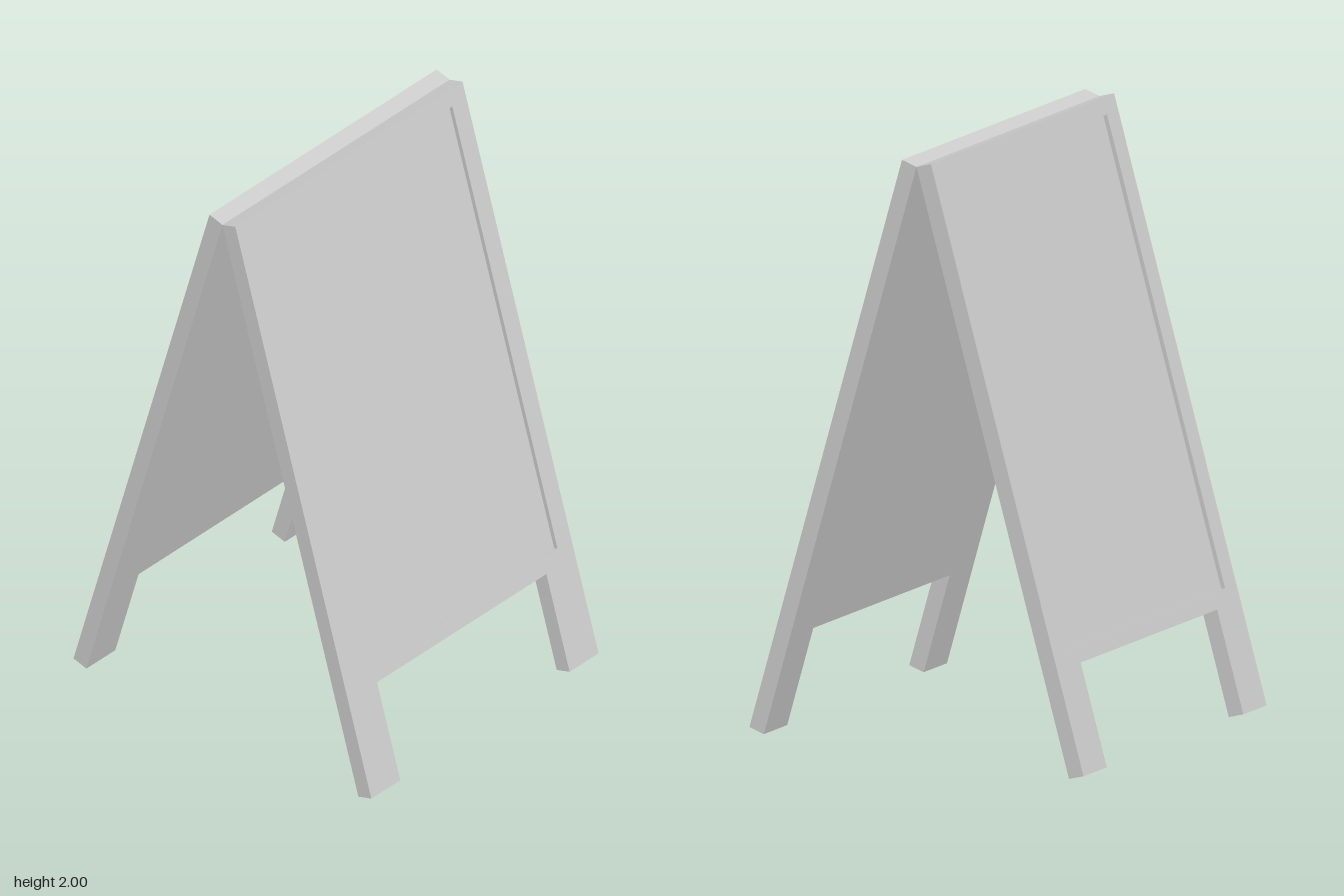
import * as THREE from 'three';

const HALF_WIDTH = 0.57, LENGTH = 2.069, THICK = 0.058, TILT = 0.287;
const LEG_INNER = 0.425, RAIL_BOTTOM = -1.715;
const PANEL_HALF = 0.5, PANEL_TOP = -0.057, PANEL_BOTTOM = -1.658, RECESS = 0.015;

const material = new THREE.MeshStandardMaterial({ color: 0xcccccc, flatShading: true });

// One leaf of the board: local x points outward, the top inner edge is the hinge
function createLeaf(name) {
  const leaf = new THREE.Group();
  leaf.name = name;

  // Frame with two legs and an opening for the writing panel
  const outline = new THREE.Shape([
    [-HALF_WIDTH, 0], [-HALF_WIDTH, -LENGTH], [-LEG_INNER, -LENGTH], [-LEG_INNER, RAIL_BOTTOM],
    [LEG_INNER, RAIL_BOTTOM], [LEG_INNER, -LENGTH], [HALF_WIDTH, -LENGTH], [HALF_WIDTH, 0],
  ].map(([x, y]) => new THREE.Vector2(x, y)));
  outline.holes.push(new THREE.Path([
    [-PANEL_HALF, PANEL_BOTTOM], [-PANEL_HALF, PANEL_TOP],
    [PANEL_HALF, PANEL_TOP], [PANEL_HALF, PANEL_BOTTOM],
  ].map(([x, y]) => new THREE.Vector2(x, y))));
  const frameGeometry = new THREE.ExtrudeGeometry(outline, { depth: THICK, bevelEnabled: false });
  frameGeometry.rotateY(Math.PI / 2);
  const frame = new THREE.Mesh(frameGeometry, material);
  frame.name = 'frame';

  // Writing panel: flush on the inside, recessed on the outside
  const depth = THICK - RECESS;
  const panel = new THREE.Mesh(
    new THREE.BoxGeometry(depth, PANEL_TOP - PANEL_BOTTOM, PANEL_HALF * 2), material);
  panel.position.set(depth / 2, (PANEL_TOP + PANEL_BOTTOM) / 2, 0);
  panel.name = 'writingPanel';

  leaf.add(frame, panel);
  leaf.rotation.z = TILT;
  leaf.position.y = LENGTH * Math.cos(TILT);
  return leaf;
}

export function createModel() {
  const model = new THREE.Group();
  model.name = 'sandwichBoard';

  // Two identical leaves leaning against each other
  ['leftLeaf', 'rightLeaf'].forEach((name, i) => {
    const side = new THREE.Group();
    side.name = name + 'Side';
    side.rotation.y = i * Math.PI;
    side.add(createLeaf(name));
    model.add(side);
  });
  return model;
}
